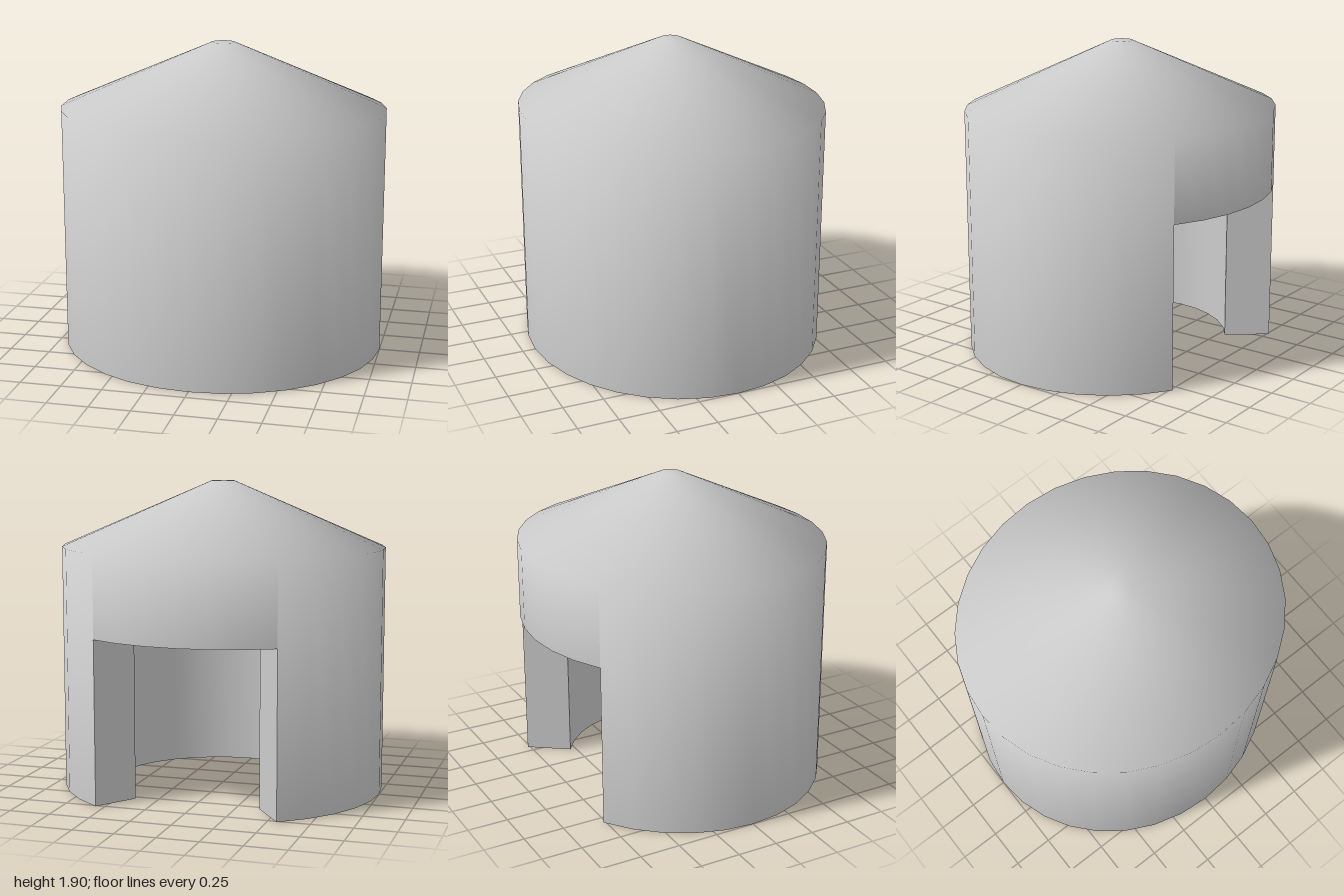
import * as THREE from 'three';
import { mergeGeometries, toCreasedNormals } from 'three/addons/utils/BufferGeometryUtils.js';

const SEGMENTS = 32;
const STEP = (Math.PI * 2) / SEGMENTS;
const DOOR_HALF = 3;          // door half-width in segments
const DEPTH = 0.92;           // plan is slightly flattened front to back
const INNER = 0.7, CEILING = 1.4, EAVES = 1.5, PEAK = 1.9, DOOR_TOP = 1;

// Wall and roof section, swept over part of the circle
function sector(baseY, firstStep, steps) {
  const profile = [
    [INNER, CEILING], [INNER, baseY], [1, baseY], [1, EAVES], [0.07, PEAK], [0, PEAK],
  ].map(([r, y]) => new THREE.Vector2(r, y));
  return new THREE.LatheGeometry(profile, steps, Math.PI + firstStep * STEP, steps * STEP);
}

export function createModel() {
  const model = new THREE.Group();
  model.name = 'roundHut';
  const material = new THREE.MeshStandardMaterial({ color: 0xcccccc });
  const thin = new THREE.MeshStandardMaterial({ color: 0xcccccc, side: THREE.DoubleSide });
  const add = (name, geometry, mat) => {
    const mesh = new THREE.Mesh(geometry, mat);
    mesh.name = name;
    model.add(mesh);
    return mesh;
  };

  // Round wall with conical roof; the sector over the door stops at the lintel
  const shell = mergeGeometries([
    sector(0, DOOR_HALF, SEGMENTS - 2 * DOOR_HALF),
    sector(DOOR_TOP, -DOOR_HALF, 2 * DOOR_HALF),
  ]);
  shell.scale(1, 1, DEPTH);
  add('wallAndRoof', toCreasedNormals(shell, 1.25), material);

  // Flat ceiling inside
  const ceiling = new THREE.CircleGeometry(INNER, SEGMENTS);
  ceiling.rotateX(Math.PI / 2);
  ceiling.translate(0, CEILING, 0);
  ceiling.scale(1, 1, DEPTH);
  add('ceiling', ceiling, thin);

  // Radial faces on both sides of the doorway
  for (const side of [-1, 1]) {
    const jamb = new THREE.PlaneGeometry(1 - INNER, DOOR_TOP);
    jamb.translate((1 + INNER) / 2, DOOR_TOP / 2, 0);
    jamb.rotateY(Math.PI / 2 + side * DOOR_HALF * STEP);
    jamb.scale(1, 1, DEPTH);
    jamb.computeVertexNormals();
    add(side > 0 ? 'rightDoorJamb' : 'leftDoorJamb', jamb, thin);
  }
  return model;
}
